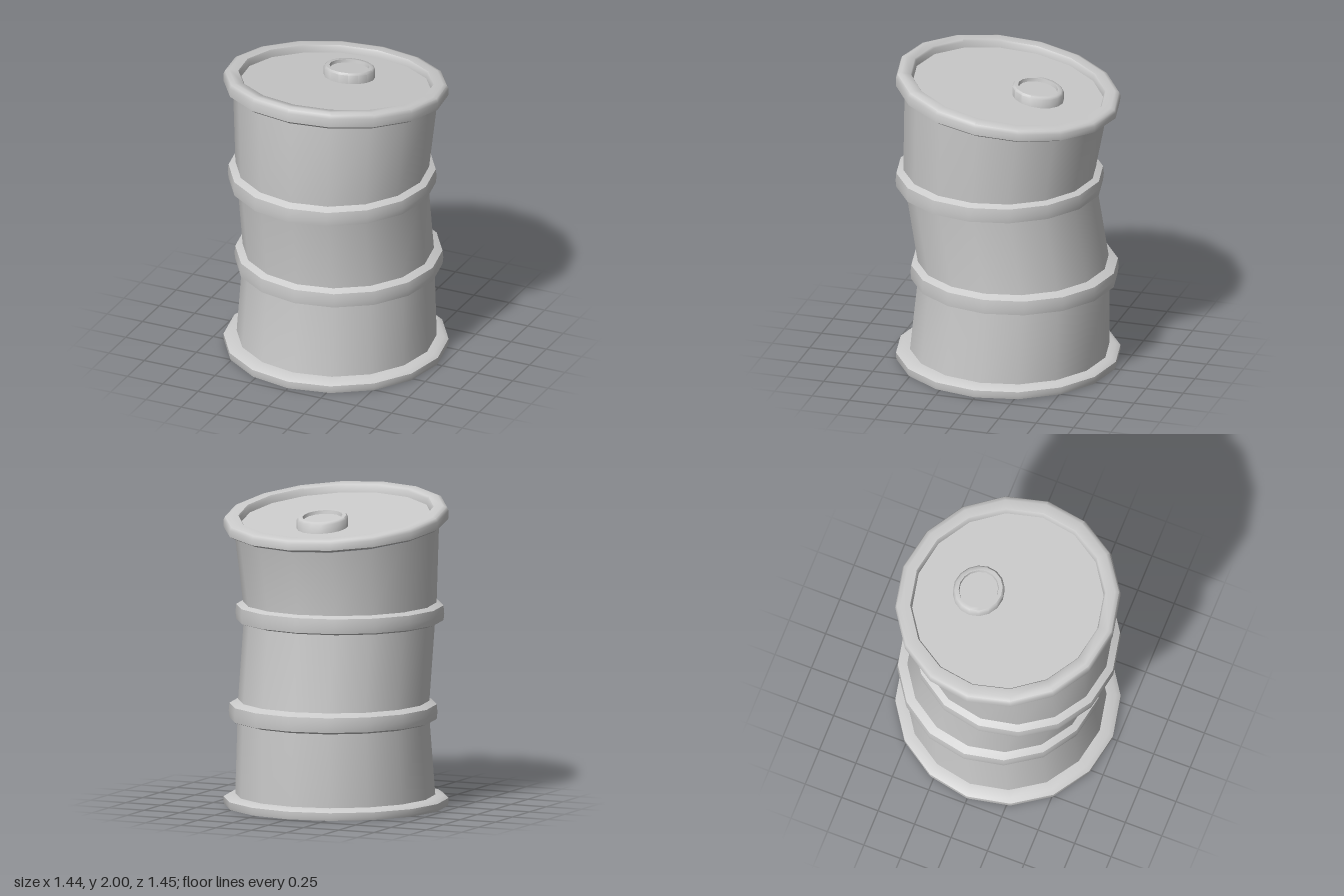
import * as THREE from 'three';
import { toCreasedNormals } from 'three/addons/utils/BufferGeometryUtils.js';

const SIDES = 16;
const material = new THREE.MeshStandardMaterial({ color: 0xcccccc });

// Skin a stack of rings, each [y, radius, centre z, slope of y along z].
// Rings run from the bottom up the outside; radius 0 closes an end.
function loft(name, rings) {
  const pos = [], index = [];
  for (const [y, r, cz = 0, slope = 0] of rings) {
    for (let i = 0; i < SIDES; i++) {
      const a = (i / SIDES) * Math.PI * 2;
      const z = cz + r * Math.cos(a);
      pos.push(r * Math.sin(a), y + slope * z, z);
    }
  }
  for (let j = 0; j < rings.length - 1; j++) {
    for (let i = 0; i < SIDES; i++) {
      const k = (i + 1) % SIDES;
      const a = j * SIDES + i, b = j * SIDES + k, c = a + SIDES, d = b + SIDES;
      if (rings[j][1] > 0) index.push(a, b, d);
      if (rings[j + 1][1] > 0) index.push(a, d, c);
      else if (rings[j][1] > 0) index.splice(-3, 3, a, b, c);
    }
  }
  const geo = new THREE.BufferGeometry();
  geo.setAttribute('position', new THREE.Float32BufferAttribute(pos, 3));
  geo.setIndex(index);
  const mesh = new THREE.Mesh(toCreasedNormals(geo, 0.85), material);
  mesh.name = name;
  return mesh;
}

// Raised hoop around the body
const hoop = (name, y, cz) => loft(name, [
  [y, 0.605, cz + 0.008], [y + 0.02, 0.663, cz], [y + 0.065, 0.668, cz],
  [y + 0.115, 0.663, cz], [y + 0.14, 0.605, cz + 0.008],
]);

export function createModel() {
  const barrel = new THREE.Group();
  barrel.name = 'barrel';

  // Closed bottom with a flared foot
  barrel.add(loft('base', [
    [0, 0, 0], [0, 0.715, 0], [0.02, 0.72, 0], [0.05, 0.72, 0],
    [0.068, 0.69, 0], [0.075, 0.62, 0],
  ]));

  // Dented wall leaning back, then forward
  barrel.add(loft('body', [
    [0.07, 0.64, -0.01], [0.55, 0.615, -0.036], [0.68, 0.612, -0.034],
    [1.17, 0.612, 0.048], [1.31, 0.62, 0.055], [1.79, 0.655, 0.01, 0.117],
  ]));
  barrel.add(hoop('lowerHoop', 0.545, -0.043));
  barrel.add(hoop('upperHoop', 1.17, 0.057));

  // Tilted rim with a sunken lid
  barrel.add(loft('rimAndLid', [
    [1.79, 0.64, 0.005, 0.117], [1.803, 0.69, 0, 0.113], [1.82, 0.718, 0, 0.115],
    [1.87, 0.72, 0, 0.13], [1.892, 0.71, 0, 0.135], [1.901, 0.685, 0, 0.14],
    [1.897, 0.625, 0, 0.14], [1.885, 0.617, 0, 0.14], [1.848, 0.612, 0, 0.14],
    [1.848, 0, 0, 0.14],
  ]));

  // Filler cap with a recessed top
  const z = -0.2, s = 0.155;
  barrel.add(loft('cap', [
    [1.82, 0.165, z, s], [1.908, 0.165, z, s], [1.922, 0.153, z, s],
    [1.922, 0.128, z, s], [1.9, 0.124, z, s], [1.9, 0, z, s],
  ]));
  return barrel;
}
